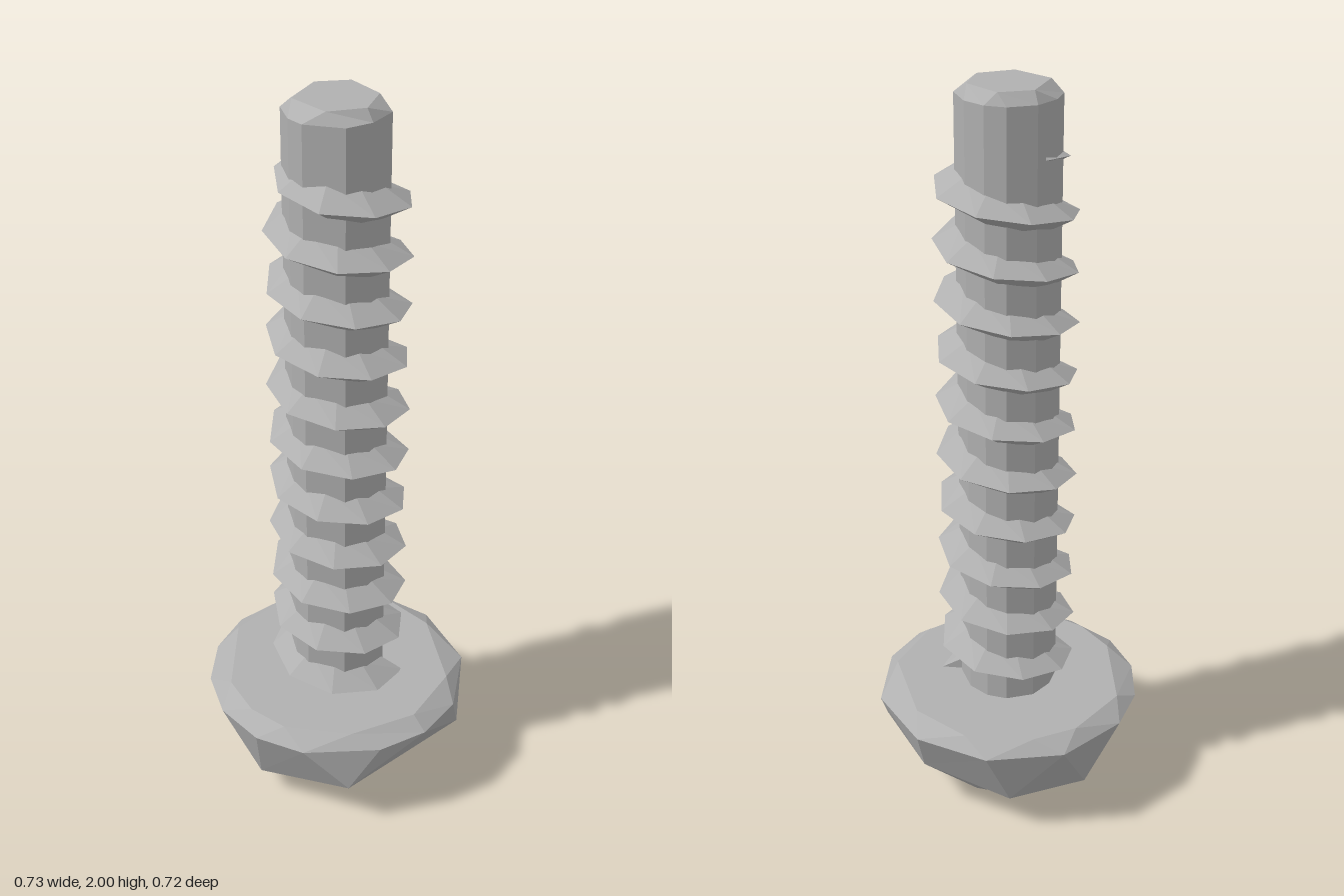
import * as THREE from 'three';

const steel = new THREE.MeshStandardMaterial({ color: 0xb0b0b0, flatShading: true });
steel.name = 'grey steel';

const TAU = Math.PI * 2;
const P = (x, y, z) => new THREE.Vector3(x, y, z);
const angle = (p) => (Math.atan2(p.x, p.z) + TAU) % TAU;
const byAngle = (ring) => [...ring].sort((a, b) => angle(a) - angle(b));
const ringAt = (y, pairs) => byAngle(pairs.map(([x, z]) => P(x, y, z)));

function meshFrom(name, tris) {
  const g = new THREE.BufferGeometry().setFromPoints(tris);
  g.computeVertexNormals();
  const m = new THREE.Mesh(g, steel);
  m.name = name;
  return m;
}

const quad = (out, a, b, c, d) => out.push(a, b, c, a, c, d);

// Joins a lower and an upper ring with any number of points, walking round by angle
function zip(out, low, up) {
  const at = (ring, k) => angle(ring[k % ring.length]) + TAU * Math.floor(k / ring.length);
  let i = 0, j = 0;
  while (i < low.length || j < up.length) {
    const a = low[i % low.length], b = up[j % up.length];
    if (j >= up.length || (i < low.length && at(low, i + 1) <= at(up, j + 1))) {
      out.push(a, low[++i % low.length], b);
    } else {
      out.push(a, up[++j % up.length], b);
    }
  }
}

// Closes a ring with a fan about a centre, facing up or down
function fan(out, ring, centre, down = false) {
  ring.forEach((p, i) => {
    const q = ring[(i + 1) % ring.length];
    out.push(centre, down ? q : p, down ? p : q);
  });
}

function buildHead() {
  const t = [];
  const seat = ringAt(0.305, [[0, 0.315], [0.18, 0.26], [0.305, 0.05], [0.295, -0.125], [0.18, -0.27],
    [0.065, -0.32], [-0.125, -0.305], [-0.295, -0.125], [-0.322, 0], [-0.3, 0.115], [-0.18, 0.26]]);
  const rim = ringAt(0.27, [[0, 0.36], [0.14, 0.33], [0.303, 0.2], [0.363, -0.01], [0.302, -0.21],
    [0.14, -0.345], [-0.07, -0.362], [-0.2, -0.31], [-0.305, -0.21], [-0.363, -0.08],
    [-0.363, 0.07], [-0.305, 0.2], [-0.14, 0.33]]);
  const belly = byAngle([P(-0.21, 0.135, 0.28), P(0.21, 0.135, 0.28), P(0.31, 0.14, 0.02),
    P(0.22, 0.1, -0.22), P(0, 0.08, -0.3), P(-0.24, 0.12, -0.2), P(-0.31, 0.08, 0.02)]);

  // Dome foot ring and cross recess, one quadrant at a time
  const foot = [], mouth = [], deep = [];
  for (let k = 0; k < 4; k++) {
    const turn = (x, y, z) => P(x, y, z).applyAxisAngle(P(0, 1, 0), k * Math.PI / 2);
    const a = turn(0.055, 0.022, 0.18), d = turn(0.137, 0.022, 0.137);
    const b = turn(0.18, 0.022, 0.055), c = turn(0.058, 0, 0.058);
    foot.push(a, d, b);
    mouth.push(a, c, b);
    deep.push(turn(0.02, 0.15, 0.06), turn(0.025, 0.15, 0.025), turn(0.06, 0.15, 0.02));
    quad(t, a, c, b, d);
  }
  mouth.forEach((p, i) => {
    const n = (i + 1) % mouth.length;
    quad(t, p, deep[i], deep[n], mouth[n]);
  });
  fan(t, deep, P(0, 0.18, 0), true);

  zip(t, byAngle(foot), belly);
  zip(t, belly, rim);
  zip(t, rim, seat);
  fan(t, seat, P(0, 0.305, 0));
  return meshFrom('head', t);
}

function buildShank() {
  const t = [];
  const outline = [[-0.13, -0.03], [-0.095, -0.1], [-0.04, -0.127], [0.03, -0.13], [0.095, -0.09],
    [0.12, -0.04], [0.12, 0.025], [0.08, 0.1], [0, 0.12], [-0.07, 0.105], [-0.13, 0.02]];
  const base = ringAt(0.29, outline);
  const shoulder = ringAt(1.97, outline);
  const tip = ringAt(2, [[-0.09, -0.063], [0.02, -0.11], [0.095, -0.06], [0.085, 0.05],
    [0, 0.1], [-0.088, 0.055]]);
  zip(t, base, shoulder);
  zip(t, shoulder, tip);
  fan(t, tip, P(0, 2, 0));
  return meshFrom('shank', t);
}

// Triangular ridge winding down the shank, fading out at its upper end
function buildThread() {
  const t = [], pitch = 0.1445, start = -Math.PI, end = TAU * 10.1, steps = 92;
  const section = (i) => {
    const a = start + (end - start) * i / steps;
    const y = 1.762 - pitch * a / TAU;
    const grow = Math.min(1, 0.25 + i / 4);
    const at = (r, dy) => P(Math.sin(a) * r, y + dy, Math.cos(a) * r);
    return [at(0.108, 0.046 * grow), at(0.125 + 0.062 * grow, 0), at(0.108, -0.046 * grow)];
  };
  for (let i = 0; i < steps; i++) {
    const [u, c, d] = section(i), [u2, c2, d2] = section(i + 1);
    quad(t, u, c, c2, u2);
    quad(t, c, d, d2, c2);
    if (i === 0) t.push(u, d, c);
    if (i === steps - 1) t.push(u2, c2, d2);
  }
  return meshFrom('thread', t);
}

export function createModel() {
  const screw = new THREE.Group();
  screw.name = 'screw';
  screw.add(buildHead(), buildShank(), buildThread());
  return screw;
}
